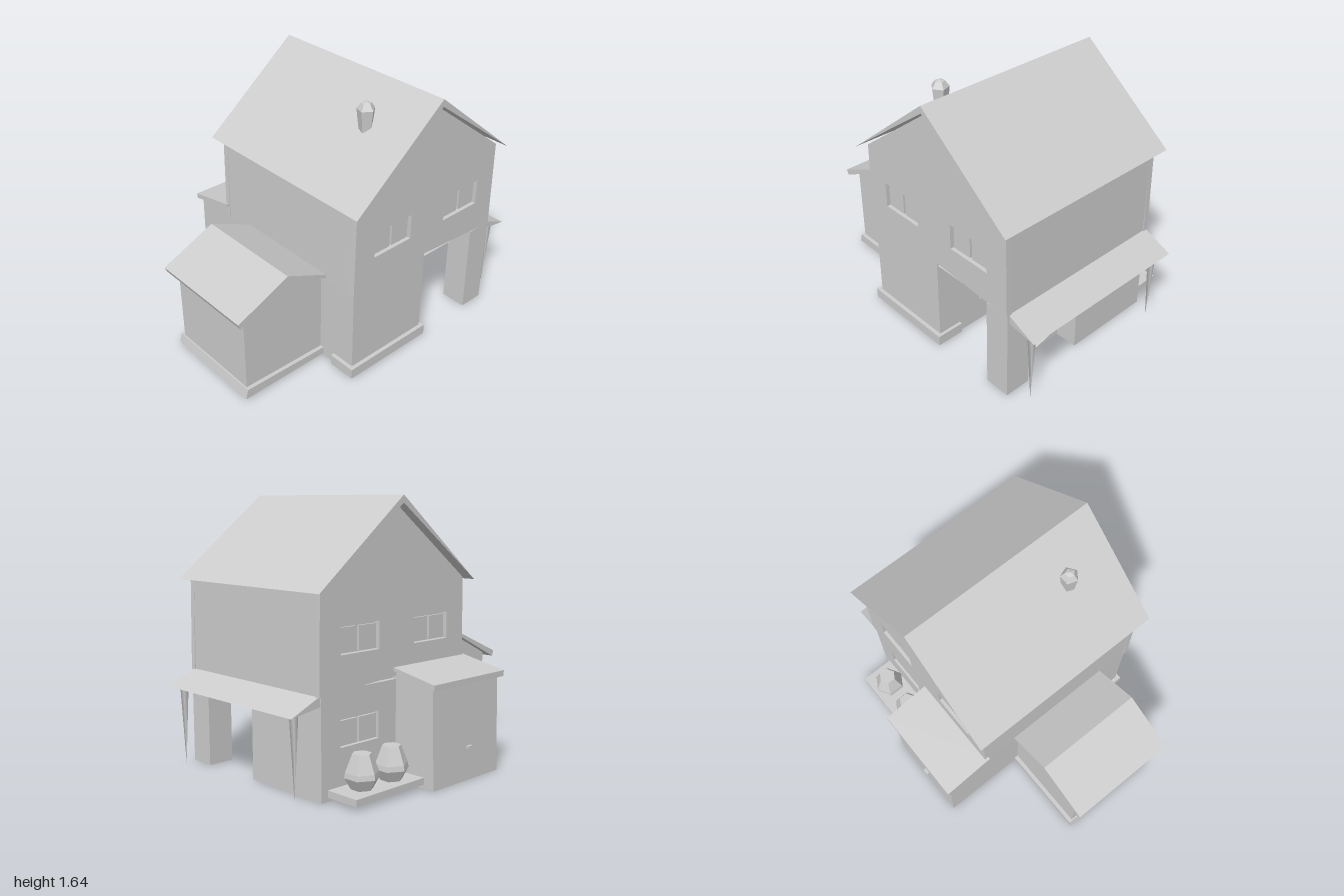
import * as THREE from 'three';

const wall = new THREE.MeshStandardMaterial({ color: 0xcccccc });
wall.name = 'plainGrey';

export function createModel() {
  const house = new THREE.Group();
  house.name = 'house';

  function add(name, geometry) {
    const mesh = new THREE.Mesh(geometry, wall);
    mesh.name = name;
    house.add(mesh);
    return mesh;
  }
  function box(name, x0, x1, y0, y1, z0, z1) {
    const g = new THREE.BoxGeometry(x1 - x0, y1 - y0, z1 - z0);
    g.translate((x0 + x1) / 2, (y0 + y1) / 2, (z0 + z1) / 2);
    return add(name, g);
  }
  // Outline in x and y, carried along z, with optional rectangular openings
  function prism(name, points, z0, z1, holes = []) {
    const shape = new THREE.Shape(points.map(p => new THREE.Vector2(...p)));
    for (const [x0, x1, y0, y1] of holes) {
      shape.holes.push(new THREE.Path([[x0, y0], [x0, y1], [x1, y1], [x1, y0]].map(p => new THREE.Vector2(...p))));
    }
    const g = new THREE.ExtrudeGeometry(shape, { depth: z1 - z0, bevelEnabled: false });
    g.translate(0, 0, z0);
    return add(name, g);
  }
  // Outline in z and y, carried along x
  function sidePrism(name, points, x0, x1) {
    const shape = new THREE.Shape(points.map(([z, y]) => new THREE.Vector2(-z, y)));
    const g = new THREE.ExtrudeGeometry(shape, { depth: x1 - x0, bevelEnabled: false });
    g.rotateY(Math.PI / 2);
    g.translate(x0, 0, 0);
    return add(name, g);
  }
  // Two panes standing back in an opening
  function panes([x0, x1, y0, y1], z0, z1) {
    const mid = (x0 + x1) / 2;
    box('windowPane', x0 + 0.008, mid - 0.008, y0 + 0.004, y1 - 0.015, z0, z1);
    box('windowPane', mid + 0.008, x1 - 0.008, y0 + 0.004, y1 - 0.015, z0, z1);
  }

  // Upper storey: solid core with a windowed wall at each end
  const upperWindows = [[-0.215, 0.075, 0.79, 0.95], [0.36, 0.655, 0.79, 0.95]];
  const gable = [[0.8, 1.15], [0.22, 1.585], [-0.36, 1.15]];
  prism('upperStorey', [[-0.365, 0.58], [0.805, 0.58], ...gable], -0.43, 0.68);
  const endWall = [[-0.37, 0.58], [0.22, 0.62], [0.81, 0.58], ...gable];
  prism('upperFrontWall', endWall, 0.68, 0.715, upperWindows);
  prism('upperBackWall', endWall, -0.465, -0.43, upperWindows);
  for (const w of upperWindows) {
    panes(w, 0.675, 0.695);
    panes(w, -0.445, -0.425);
  }

  // Main roof, thick at the ridge and sharp at the eaves
  prism('mainRoof', [[-0.41, 1.135], [0.22, 1.595], [0.85, 1.135], [0.22, 1.64]], -0.515, 0.765);

  // Chimney with a pointed cap
  const chimney = add('chimney', new THREE.LatheGeometry(
    [[0, -0.06], [0.035, -0.06], [0.055, 0.11], [0.03, 0.145], [0, 0.155]].map(p => new THREE.Vector2(...p)), 5
  ).toNonIndexed());
  chimney.geometry.computeVertexNormals();
  chimney.position.set(-0.03, 1.435, 0.43);

  // Front room with its footing and door handle
  box('frontRoom', -0.36, 0.22, 0, 0.62, -0.45, 0.705);
  box('frontFooting', -0.385, 0.24, 0.005, 0.07, 0.55, 0.73);
  box('sideDoorHandle', 0.22, 0.245, 0.17, 0.185, 0.35, 0.39);

  // Back room with one window in its rear wall
  const lowWindow = [0.36, 0.655, 0.28, 0.44];
  box('backRoom', 0.22, 0.795, 0, 0.58, -0.43, 0.135);
  prism('backRoomRearWall', [[0.22, 0], [0.795, 0], [0.795, 0.6], [0.22, 0.6]], -0.46, -0.43, [lowWindow]);
  panes(lowWindow, -0.445, -0.425);

  // Porch: corner pillar, sloping ceiling and doorstep
  box('porchPillar', 0.645, 0.81, 0, 0.58, 0.545, 0.71);
  sidePrism('porchCeiling', [[0.135, 0.51], [0.135, 0.585], [0.7, 0.585]], 0.22, 0.79);
  sidePrism('porchStep', [[0.135, 0], [0.135, 0.05], [0.31, 0]], 0.225, 0.65);

  // Side awning on two pointed struts
  prism('awning', [[0.79, 0.53], [0.93, 0.508], [0.995, 0.498], [0.79, 0.59]], -0.455, 0.695);
  for (const z of [0.635, -0.385]) {
    const strut = add('awningStrut', new THREE.ConeGeometry(0.026, 0.5, 4).rotateY(Math.PI / 4).rotateX(Math.PI));
    strut.position.set(0.92, 0.265, z);
  }

  // Side wing with gabled roof and footing
  prism('wing', [[-0.93, 0], [-0.34, 0], [-0.34, 0.58], [-0.65, 0.72], [-0.93, 0.585]], -0.19, 0.43);
  prism('wingRoof', [[-0.985, 0.555], [-0.65, 0.722], [-0.35, 0.585], [-0.35, 0.61], [-0.65, 0.745], [-1, 0.59]], -0.23, 0.48);
  prism('wingFooting', [[-0.955, 0.01], [-0.35, 0.01], [-0.35, 0.055], [-0.94, 0.07]], -0.215, 0.455);

  // Rear annex with lean-to roof and door handle
  sidePrism('annex', [[-0.44, 0], [-0.75, 0], [-0.74, 0.58], [-0.44, 0.65]], -0.36, 0.22);
  sidePrism('annexRoof', [[-0.44, 0.655], [-0.77, 0.575], [-0.77, 0.61], [-0.44, 0.675]], -0.385, 0.245);
  box('annexDoorHandle', -0.11, -0.07, 0.19, 0.205, -0.765, -0.74);

  // Rear shelf with two pots
  box('potShelf', 0.22, 0.75, 0.025, 0.065, -0.68, -0.44);
  const potProfile = [[0, 0.06], [0.06, 0.06], [0.1, 0.13], [0.095, 0.16], [0.055, 0.262], [0, 0.262]].map(p => new THREE.Vector2(...p));
  for (const x of [0.365, 0.595]) {
    const g = new THREE.LatheGeometry(potProfile, 6).toNonIndexed();
    g.computeVertexNormals();
    add('pot', g).position.set(x, 0, -0.565);
  }

  return house;
}
